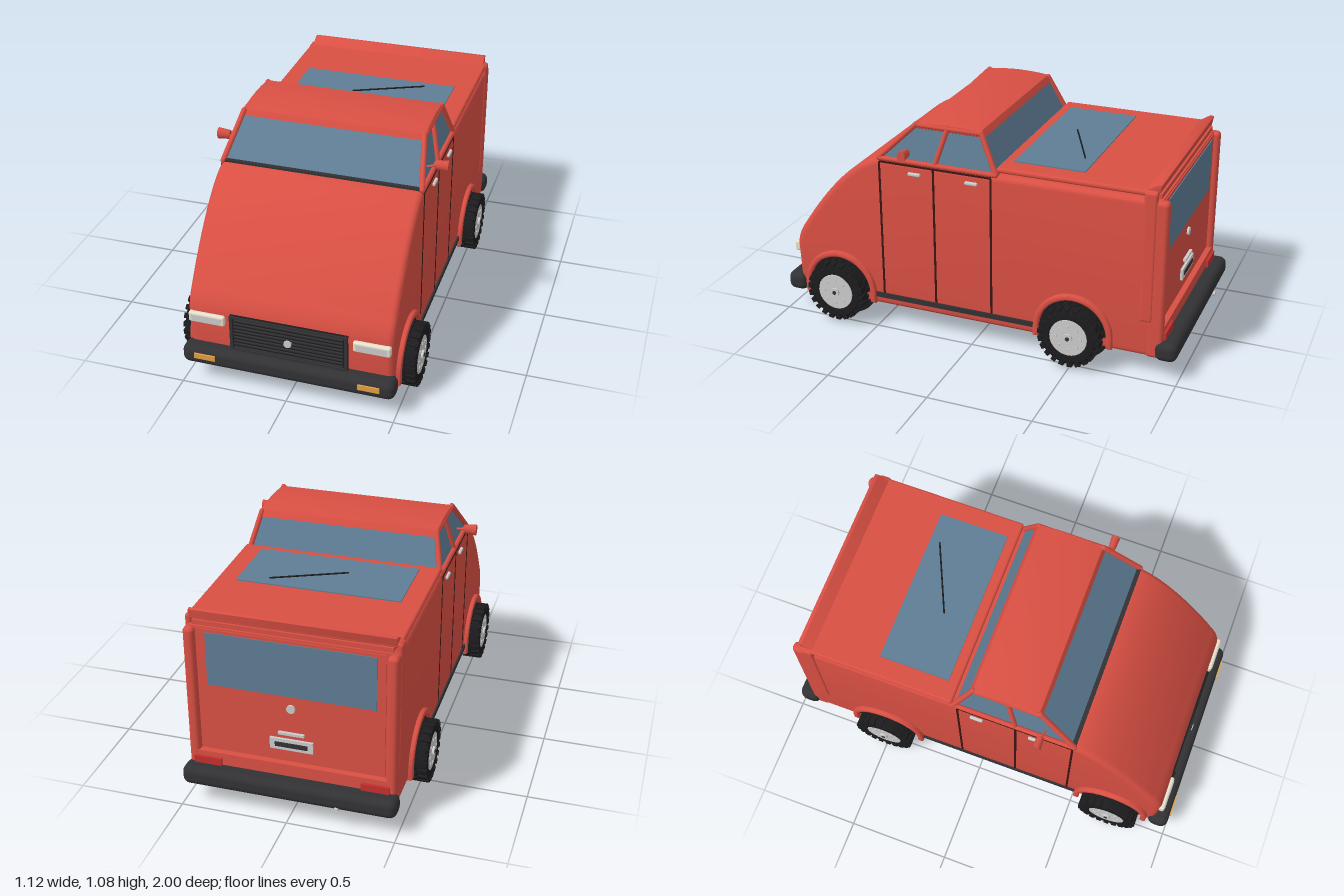
import * as THREE from 'three';
import { toCreasedNormals } from 'three/addons/utils/BufferGeometryUtils.js';
import { RoundedBoxGeometry } from 'three/addons/geometries/RoundedBoxGeometry.js';

const mat = (color, side = THREE.FrontSide) => new THREE.MeshStandardMaterial({ color, side });
const red = mat(0xd94f43), glass = mat(0x5f7d95, THREE.DoubleSide), black = mat(0x1c1c1e);
const dark = mat(0x323235), grey = mat(0xcccccc), amber = mat(0xe0a040);
const lamp = mat(0xe8e0cc), tail = mat(0xc62f2f), seam = mat(0x3a1512);

export function createModel() {
  const model = new THREE.Group();
  const add = (name, geo, material, x = 0, y = 0, z = 0, parent = model) => {
    const mesh = new THREE.Mesh(geo, material);
    mesh.name = name;
    mesh.position.set(x, y, z);
    parent.add(mesh);
    return mesh;
  };
  const box = (name, w, h, d, m, x, y, z, parent) => add(name, new THREE.BoxGeometry(w, h, d), m, x, y, z, parent);
  const round = (name, w, h, d, r, m, x, y, z) => add(name, new RoundedBoxGeometry(w, h, d, 3, r), m, x, y, z);

  // Side profile (z, y) extruded across x, centred, with rounded edges
  const acrossX = (shape, width, bevel) => {
    const geo = new THREE.ExtrudeGeometry(shape, {
      depth: width - 2 * bevel, bevelEnabled: bevel > 0, bevelSize: bevel, bevelThickness: bevel,
      bevelOffset: -bevel, bevelSegments: 4, curveSegments: 20,
    });
    geo.translate(0, 0, -width / 2 + bevel);
    geo.rotateY(-Math.PI / 2);
    return toCreasedNormals(geo, 0.6);
  };
  // Rod between two points
  const rod = (name, a, b, r, m) => {
    const p = new THREE.Vector3(...a), q = new THREE.Vector3(...b), d = q.clone().sub(p);
    const mesh = add(name, new THREE.CapsuleGeometry(r, d.length(), 4, 10), m);
    mesh.position.copy(p).add(q).multiplyScalar(0.5);
    mesh.quaternion.setFromUnitVectors(new THREE.Vector3(0, 1, 0), d.normalize());
    return mesh;
  };

  // Main body with sloping nose
  const side = new THREE.Shape();
  side.moveTo(-0.89, 0.11);
  side.lineTo(0.93, 0.11);
  side.lineTo(0.94, 0.36);
  side.quadraticCurveTo(0.935, 0.42, 0.89, 0.48);
  side.bezierCurveTo(0.8, 0.62, 0.62, 0.85, 0.47, 0.883);
  side.lineTo(-0.89, 0.883);
  side.closePath();
  add('body', acrossX(side, 0.96, 0.03), red);

  // Cabin glass: tapered block
  const cabin = new THREE.BoxGeometry(2, 1, 2);
  const pos = cabin.attributes.position;
  for (let i = 0; i < pos.count; i++) {
    const top = pos.getY(i) > 0, front = pos.getZ(i) > 0;
    pos.setXYZ(i, Math.sign(pos.getX(i)) * (top ? 0.425 : 0.465), top ? 1.05 : 0.875,
      top ? (front ? 0.285 : -0.035) : (front ? 0.465 : -0.115));
  }
  cabin.computeVertexNormals();
  add('cabinGlass', cabin, glass);

  // Cabin roof
  const roof = new THREE.Shape();
  roof.moveTo(-0.047, 1.038);
  roof.lineTo(0.3, 1.038);
  roof.lineTo(0.285, 1.065);
  roof.quadraticCurveTo(0.13, 1.09, -0.03, 1.068);
  roof.closePath();
  add('roof', acrossX(roof, 0.875, 0.008), red);
  box('cowl', 0.94, 0.012, 0.02, dark, 0, 0.885, 0.467);
  box('rearCowl', 0.94, 0.014, 0.02, red, 0, 0.885, -0.117);

  for (const s of [-1, 1]) {
    // Pillars and beltline
    rod('frontPillar', [s * 0.47, 0.885, 0.47], [s * 0.43, 1.06, 0.29], 0.013, red);
    rod('middlePillar', [s * 0.47, 0.885, 0.185], [s * 0.43, 1.06, 0.135], 0.012, red);
    rod('rearPillar', [s * 0.47, 0.885, -0.115], [s * 0.43, 1.06, -0.03], 0.013, red);
    rod('roofRail', [s * 0.43, 1.055, 0.285], [s * 0.43, 1.055, -0.03], 0.013, red);
    rod('beltline', [s * 0.472, 0.882, 0.47], [s * 0.472, 0.882, -0.115], 0.012, red);

    // Doors, sill and handles
    for (const z of [0.465, 0.19, -0.095]) box('doorSeam', 0.008, 0.69, 0.01, seam, s * 0.478, 0.52, z);
    box('doorTopSeam', 0.008, 0.007, 0.56, seam, s * 0.478, 0.866, 0.185);
    box('sillTrim', 0.03, 0.025, 0.86, dark, s * 0.473, 0.167, 0.1);
    for (const z of [0.285, 0]) round('doorHandle', 0.018, 0.016, 0.062, 0.006, grey, s * 0.484, 0.828, z);

    // Mirror
    const mirror = add('mirror', new THREE.CylinderGeometry(0.028, 0.022, 0.06, 10), red, s * 0.523, 0.935, 0.315);
    mirror.rotation.z = -s * Math.PI / 2;
    mirror.scale.z = 0.75;
    rod('mirrorArm', [s * 0.455, 0.925, 0.325], [s * 0.51, 0.935, 0.315], 0.006, red);

    // Rear corner columns and side strips
    round('rearPost', 0.05, 0.77, 0.08, 0.02, red, s * 0.457, 0.495, -0.882);
    round('sideStrip', 0.03, 0.63, 0.06, 0.012, red, s * 0.472, 0.605, -0.84);

    // Lamps
    round('headlight', 0.172, 0.052, 0.03, 0.01, lamp, s * 0.385, 0.34, 0.943);
    box('headlightLens', 0.14, 0.03, 0.01, grey, s * 0.385, 0.34, 0.955);
    box('turnSignal', 0.1, 0.026, 0.01, amber, s * 0.385, 0.162, 0.999);
    box('tailLight', 0.13, 0.04, 0.02, tail, s * 0.39, 0.215, -0.922);
  }

  // Grille
  box('grille', 0.55, 0.18, 0.03, black, 0, 0.29, 0.935);
  for (let i = 0; i < 9; i++) box('grilleSlat', 0.51, 0.006, 0.01, dark, 0, 0.218 + i * 0.018, 0.952);
  for (const s of [-1, 1]) {
    box('grilleFrame', 0.014, 0.18, 0.012, dark, s * 0.268, 0.29, 0.951);
    box('grilleFrame', 0.55, 0.01, 0.012, dark, 0, 0.29 + s * 0.085, 0.951);
  }
  const disc = (name, r, d, m, x, y, z) => add(name, new THREE.CylinderGeometry(r, r, d, 20).rotateX(Math.PI / 2), m, x, y, z);
  disc('frontBadge', 0.018, 0.016, grey, 0, 0.29, 0.955);

  // Bumpers and exhaust
  round('frontBumper', 1.0, 0.094, 0.1, 0.035, dark, 0, 0.153, 0.948);
  round('rearBumper', 1.0, 0.094, 0.105, 0.035, dark, 0, 0.153, -0.94);
  disc('exhaust', 0.012, 0.1, grey, -0.23, 0.115, -0.95);

  // Rear deck lid with window, wiper and spoiler
  round('deckLid', 0.96, 0.026, 0.75, 0.012, red, 0, 0.911, -0.495);
  box('deckRearSupport', 0.9, 0.03, 0.07, red, 0, 0.89, -0.845);
  box('deckWindow', 0.77, 0.008, 0.34, glass, 0, 0.925, -0.34);
  rod('wiper', [-0.085, 0.933, -0.31], [0.24, 0.933, -0.46], 0.004, black);
  const spoiler = new THREE.Shape([[-0.80, 0.915], [-0.865, 0.955], [-0.882, 0.952], [-0.875, 0.915]]
    .map(p => new THREE.Vector2(...p)));
  add('spoiler', acrossX(spoiler, 0.93, 0.003), red);

  // Tailgate
  box('rearSill', 0.9, 0.14, 0.04, red, 0, 0.19, -0.9);
  box('tailgate', 0.85, 0.61, 0.02, red, 0, 0.57, -0.885);
  box('rearWindow', 0.77, 0.26, 0.01, glass, 0, 0.73, -0.894);
  disc('rearBadge', 0.02, 0.014, grey, 0, 0.54, -0.898);
  box('tailgateHandle', 0.12, 0.012, 0.018, grey, 0, 0.412, -0.9);
  box('plateHolder', 0.2, 0.055, 0.014, grey, 0, 0.355, -0.9);
  box('plateInset', 0.15, 0.022, 0.006, dark, 0, 0.355, -0.908);

  // Wheel arch: half ring with short legs
  const arch = new THREE.Shape();
  arch.moveTo(0.192, -0.05);
  arch.lineTo(0.192, 0);
  arch.absarc(0, 0, 0.192, 0, Math.PI, false);
  arch.lineTo(-0.192, -0.05);
  arch.lineTo(-0.163, -0.05);
  arch.lineTo(-0.163, 0);
  arch.absarc(0, 0, 0.163, Math.PI, 0, true);
  arch.lineTo(0.163, -0.05);
  arch.closePath();
  const archGeo = acrossX(arch, 0.05, 0.01);
  const linerGeo = new THREE.CylinderGeometry(0.168, 0.168, 0.006, 32).rotateZ(Math.PI / 2);
  const upperLinerGeo = new THREE.CylinderGeometry(0.168, 0.168, 0.02, 32, 1, false, 0, Math.PI)
    .rotateZ(Math.PI / 2);
  const tyreGeo = toCreasedNormals(new THREE.LatheGeometry(
    [[0.08, -0.045], [0.125, -0.045], [0.139, -0.034], [0.139, 0.034], [0.125, 0.045], [0.095, 0.045], [0.085, 0.03]]
      .map(p => new THREE.Vector2(...p)), 40).rotateZ(-Math.PI / 2), 0.5);
  const tyreMat = mat(0x1c1c1e, THREE.DoubleSide);

  for (const s of [-1, 1]) for (const z of [0.7, -0.5]) {
    add('wheelArch', archGeo, red, s * 0.477, 0.17, z);
    add('wheelLiner', linerGeo, black, s * 0.425, 0.17, z);
    add('archLiner', upperLinerGeo, black, s * 0.472, 0.17, z);

    // Wheel: tyre, tread blocks, rim and hub
    const wheel = new THREE.Group();
    wheel.name = 'wheel';
    wheel.position.set(s * 0.506, 0.17, z);
    if (s < 0) wheel.rotation.y = Math.PI;
    model.add(wheel);
    add('tyre', tyreGeo, tyreMat, 0, 0, 0, wheel);
    for (let i = 0; i < 22; i++) {
      const a = i / 22 * Math.PI * 2;
      for (const k of [-1, 1]) {
        const t = a + k * 0.07;
        const lug = box('tread', 0.044, 0.02, 0.024, black, k * 0.025, Math.cos(t) * 0.138, Math.sin(t) * 0.138, wheel);
        lug.rotation.x = t;
      }
    }
    const cyl = (name, r, d, m, x) => add(name, new THREE.CylinderGeometry(r, r, d, 28).rotateZ(Math.PI / 2), m, x, 0, 0, wheel);
    cyl('rim', 0.09, 0.07, grey, 0.008);
    cyl('axle', 0.03, 0.1, black, -0.05);
    cyl('hub', 0.022, 0.014, grey, 0.046);
    cyl('hubCap', 0.01, 0.008, dark, 0.052);
    for (let i = 0; i < 8; i++) {
      const a = i / 8 * Math.PI * 2;
      box('rimBolt', 0.006, 0.01, 0.01, grey, 0.044, Math.cos(a) * 0.06, Math.sin(a) * 0.06, wheel);
    }
  }
  return model;
}
